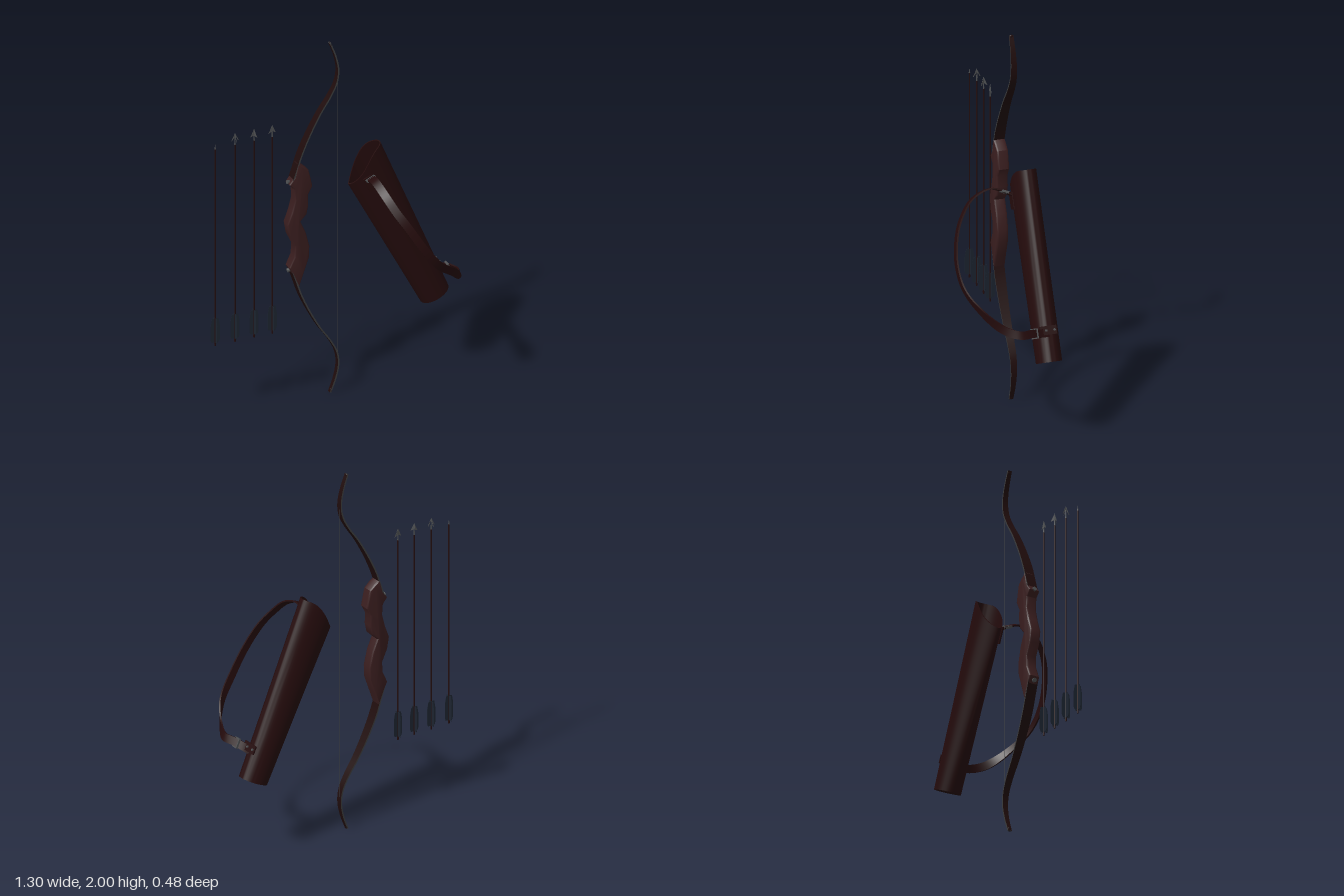
import * as THREE from 'three';
import { toCreasedNormals } from 'three/addons/utils/BufferGeometryUtils.js';

const Z = -0.175; // shared depth plane of bow, arrows and quiver

function material(name, color) {
  const m = new THREE.MeshStandardMaterial({ color });
  m.name = name;
  return m;
}

function add(parent, name, geometry, mat, x = 0, y = 0, z = 0) {
  const mesh = new THREE.Mesh(geometry, mat);
  mesh.name = name;
  mesh.position.set(x, y, z);
  parent.add(mesh);
  return mesh;
}

// Flat band swept along a curve; groups: 0 = faces, 1 = edges
function band(points, steps, widthDir, halfWidth, halfThick) {
  const curve = new THREE.CatmullRomCurve3(points);
  const rings = [];
  for (let i = 0; i <= steps; i++) {
    const t = i / steps, p = curve.getPointAt(t), T = curve.getTangentAt(t);
    const W = widthDir(t).clone().addScaledVector(T, -widthDir(t).dot(T)).normalize();
    const N = T.clone().cross(W);
    rings.push([[1, 1], [-1, 1], [-1, -1], [1, -1]].map(([a, b]) =>
      p.clone().addScaledVector(W, a * halfWidth(t)).addScaledVector(N, b * halfThick)));
  }
  const pos = [], idx = [], g = new THREE.BufferGeometry();
  const push = v => pos.push(v.x, v.y, v.z);
  [0, 1, 2, 3].forEach(k => {
    const base = pos.length / 3, start = idx.length;
    rings.forEach(r => { push(r[k]); push(r[(k + 1) % 4]); });
    for (let i = 0; i < steps; i++) {
      const a = base + i * 2;
      idx.push(a, a + 1, a + 3, a, a + 3, a + 2);
    }
    g.addGroup(start, idx.length - start, k % 2);
  });
  const start = idx.length;
  [[...rings[0]].reverse(), rings[steps]].forEach(r => {
    const b = pos.length / 3;
    r.forEach(push);
    idx.push(b, b + 1, b + 2, b, b + 2, b + 3);
  });
  g.addGroup(start, 12, 1);
  g.setAttribute('position', new THREE.Float32BufferAttribute(pos, 3));
  g.setIndex(idx);
  g.computeVertexNormals();
  return g;
}

// Quiver body: teardrop section widening upward, slanted hollow mouth
function quiverGeometry() {
  const n = 48, pos = [], idx = [];
  const rim = u => 0.856 + 0.117 * THREE.MathUtils.smoothstep(u, -0.14, 0.09);
  // [height fraction, scale, inset]
  const rows = [[0, 0, 0], [0, 1, 0], [0.25, 1, 0], [0.5, 1, 0], [0.75, 1, 0], [1, 1, 0],
    [1, 1, 0.006], [0.5, 1, 0.006], [0.02, 1, 0.006], [0.02, 0, 0]];
  rows.forEach(([f, s, inset]) => {
    for (let i = 0; i < n; i++) {
      const a = (i / n) * Math.PI * 2, c = Math.cos(a), sn = Math.sin(a);
      const u = (0.081 + 0.042 * f - inset) * c * s;
      const v = f * rim(u);
      const pow = c < 0 ? 1 + 0.65 * f * Math.min(1, -c * 2) : 1;
      pos.push(u, v, -(0.065 - inset) * Math.sign(sn) * Math.pow(Math.abs(sn), pow) * s);
    }
  });
  for (let r = 0; r < rows.length - 1; r++) for (let i = 0; i < n; i++) {
    const a = r * n + i, b = r * n + (i + 1) % n;
    idx.push(a, b, b + n, a, b + n, a + n);
  }
  const g = new THREE.BufferGeometry();
  g.setAttribute('position', new THREE.Float32BufferAttribute(pos, 3));
  g.setIndex(idx);
  return toCreasedNormals(g, 0.7);
}

const shape = pts => new THREE.Shape(pts.map(p => new THREE.Vector2(...p)));

// Thin plate centred on the xy plane
function plate(pts) {
  const g = new THREE.ExtrudeGeometry(shape(pts), { depth: 0.0016, bevelEnabled: false });
  return g.translate(0, 0, -0.0008);
}

export function createModel() {
  const leather = material('dark leather', 0x240b0c);
  const wood = material('riser wood', 0x3a1e1f);
  const limbWood = material('limb wood', 0x1f0c0c);
  const graphite = material('graphite', 0x3a3b3c);
  const metal = material('metal', 0x4c4e50);
  const shaftMat = material('arrow shaft', 0x220d0e);
  const vaneMat = material('fletching', 0x1c2430);
  const model = new THREE.Group();
  model.name = 'archerySet';

  // Bow
  const bow = new THREE.Group();
  bow.name = 'bow';
  model.add(bow);
  const limb = [[0, 1.997], [0.028, 1.92], [0.043, 1.84], [0.034, 1.77], [0, 1.7], [-0.06, 1.61],
    [-0.12, 1.5], [-0.165, 1.4], [-0.195, 1.31], [-0.215, 1.25]];
  const along = new THREE.Vector3(0, 0, 1);
  const upper = limb.map(([x, y]) => new THREE.Vector3(x, y, Z));
  const lower = limb.map(([x, y]) => new THREE.Vector3(x, 2 - y, Z)).reverse();
  const taper = t => 0.011 + 0.017 * Math.min(1, t * 1.25);
  const limbMats = [limbWood, graphite];
  add(bow, 'upperLimb', band(upper, 48, () => along, taper, 0.004), limbMats);
  add(bow, 'lowerLimb', band(lower, 48, () => along, t => taper(1 - t), 0.004), limbMats);
  add(bow, 'string', new THREE.CylinderGeometry(0.0009, 0.0009, 1.68, 6), graphite, 0.045, 1, Z);
  [1.988, 0.012].forEach(y =>
    add(bow, 'limbTip', new THREE.SphereGeometry(0.012, 16, 12), limbWood, 0.003, y, Z).scale.x = 0.4);

  // Sculpted riser
  const outline = [[-0.185, 1.355], [-0.155, 1.335], [-0.127, 1.31], [-0.116, 1.265], [-0.106, 1.215],
    [-0.13, 1.17], [-0.128, 1.11], [-0.138, 1.06], [-0.172, 1.025], [-0.143, 0.96], [-0.122, 0.875],
    [-0.125, 0.81], [-0.153, 0.73], [-0.18, 0.655], [-0.212, 0.73], [-0.232, 0.77], [-0.205, 0.83],
    [-0.201, 0.89], [-0.232, 0.955], [-0.243, 1.02], [-0.219, 1.085], [-0.201, 1.155], [-0.206, 1.215],
    [-0.232, 1.245], [-0.203, 1.285]];
  const riser = new THREE.ExtrudeGeometry(shape(outline), {
    depth: 0.04, bevelEnabled: true, bevelSize: 0.007, bevelOffset: -0.007,
    bevelThickness: 0.01, bevelSegments: 3 });
  add(bow, 'riser', toCreasedNormals(riser, 0.6), wood, 0, 0, Z - 0.02);
  [1.25, 0.75].forEach((y, i) => {
    const bolt = add(bow, 'limbBolt', new THREE.CylinderGeometry(0.011, 0.011, 0.026, 16), metal, -0.222, y, Z);
    bolt.rotation.z = Math.PI / 2 + (i ? 0.25 : -0.25);
  });

  // Arrows: one field point and three kinds of broadhead
  const solidBlade = [[0, 1.6], [0.02, 1.555], [0, 1.565]];
  const barbBlade = [[0, 1.6], [0.02, 1.557], [0.016, 1.557], [0, 1.588]];
  const heads = [null, { blade: barbBlade, count: 4 }, { blade: solidBlade, count: 3 }, { blade: solidBlade, count: 2 }];
  const vane = [[0.003, 0.43], [0.02, 0.43], [0.025, 0.445], [0.025, 0.525], [0.018, 0.565], [0.003, 0.568]];
  [-0.63, -0.521, -0.416, -0.316].forEach((x, i) => {
    const arrow = new THREE.Group();
    arrow.name = 'arrow' + (i + 1);
    arrow.position.set(x, -0.004, Z);
    model.add(arrow);
    add(arrow, 'shaft', new THREE.CylinderGeometry(0.0038, 0.0038, 1.12, 10), shaftMat, 0, 0.975, 0);
    add(arrow, 'nock', new THREE.CylinderGeometry(0.005, 0.004, 0.015, 10), shaftMat, 0, 0.4175, 0);
    add(arrow, 'point', new THREE.ConeGeometry(0.0042, heads[i] ? 0.065 : 0.028, 10), metal,
      0, heads[i] ? 1.5675 : 1.547, 0);
    for (let k = 0; k < 4; k++)
      add(arrow, 'vane', plate(vane), vaneMat).rotation.y = k * Math.PI / 2;
    if (heads[i]) for (let k = 0; k < heads[i].count; k++)
      add(arrow, 'blade', plate(heads[i].blade), metal).rotation.y = Math.PI + k * 2 * Math.PI / heads[i].count;
  });

  // Quiver
  const tilt = 25 * Math.PI / 180;
  const quiver = new THREE.Group();
  quiver.name = 'quiver';
  quiver.position.set(0.576, 0.441, Z);
  quiver.rotation.z = tilt;
  model.add(quiver);
  add(quiver, 'quiverBody', quiverGeometry(), leather);
  add(quiver, 'upperStrapTab', new THREE.BoxGeometry(0.05, 0.09, 0.008), leather, -0.03, 0.83, 0.064);
  add(quiver, 'lowerStrapTab', new THREE.BoxGeometry(0.008, 0.045, 0.09), leather, 0.09, 0.16, 0.01);
  [-0.022, 0.022].forEach(z => {
    const rivet = add(quiver, 'rivet', new THREE.CylinderGeometry(0.006, 0.006, 0.008, 12), metal, 0.096, 0.16, z);
    rivet.rotation.z = Math.PI / 2;
  });

  // Shoulder strap, twisting a quarter turn toward its lower end
  const strapPath = [[0.19, 1.205, -0.115], [0.178, 1.235, -0.06], [0.172, 1.25, 0], [0.183, 1.215, 0.095],
    [0.215, 1.145, 0.16], [0.26, 1.07, 0.203], [0.335, 0.945, 0.233], [0.42, 0.83, 0.222], [0.53, 0.735, 0.16],
    [0.6, 0.66, 0.07], [0.635, 0.635, -0.01], [0.62, 0.63, -0.07], [0.598, 0.615, -0.125], [0.59, 0.61, -0.17]]
    .map(p => new THREE.Vector3(...p));
  const strapDir = t => {
    const a = tilt + THREE.MathUtils.smoothstep(t, 0.5, 0.92) * Math.PI / 2;
    return new THREE.Vector3(Math.cos(a), Math.sin(a), 0);
  };
  add(model, 'strap', band(strapPath, 80, strapDir, () => 0.021, 0.004), [leather, leather]);

  // Buckles: square frames around the strap
  const buckle = (name, x, y, z, rx, rz) => {
    const s = shape([[-0.026, -0.018], [0.026, -0.018], [0.026, 0.018], [-0.026, 0.018]]);
    s.holes.push(shape([[-0.02, -0.012], [-0.02, 0.012], [0.02, 0.012], [0.02, -0.012]]));
    const g = new THREE.ExtrudeGeometry(s, { depth: 0.012, bevelEnabled: false });
    g.translate(0, 0, -0.006);
    add(model, name, g, metal, x, y, z).rotation.set(rx, 0, rz, 'ZYX');
  };
  buckle('upperBuckle', 0.182, 1.228, -0.075, Math.PI / 2 - 0.4, tilt);
  buckle('lowerBuckle', 0.614, 0.626, -0.085, Math.PI / 2, tilt + Math.PI / 2);
  return model;
}
